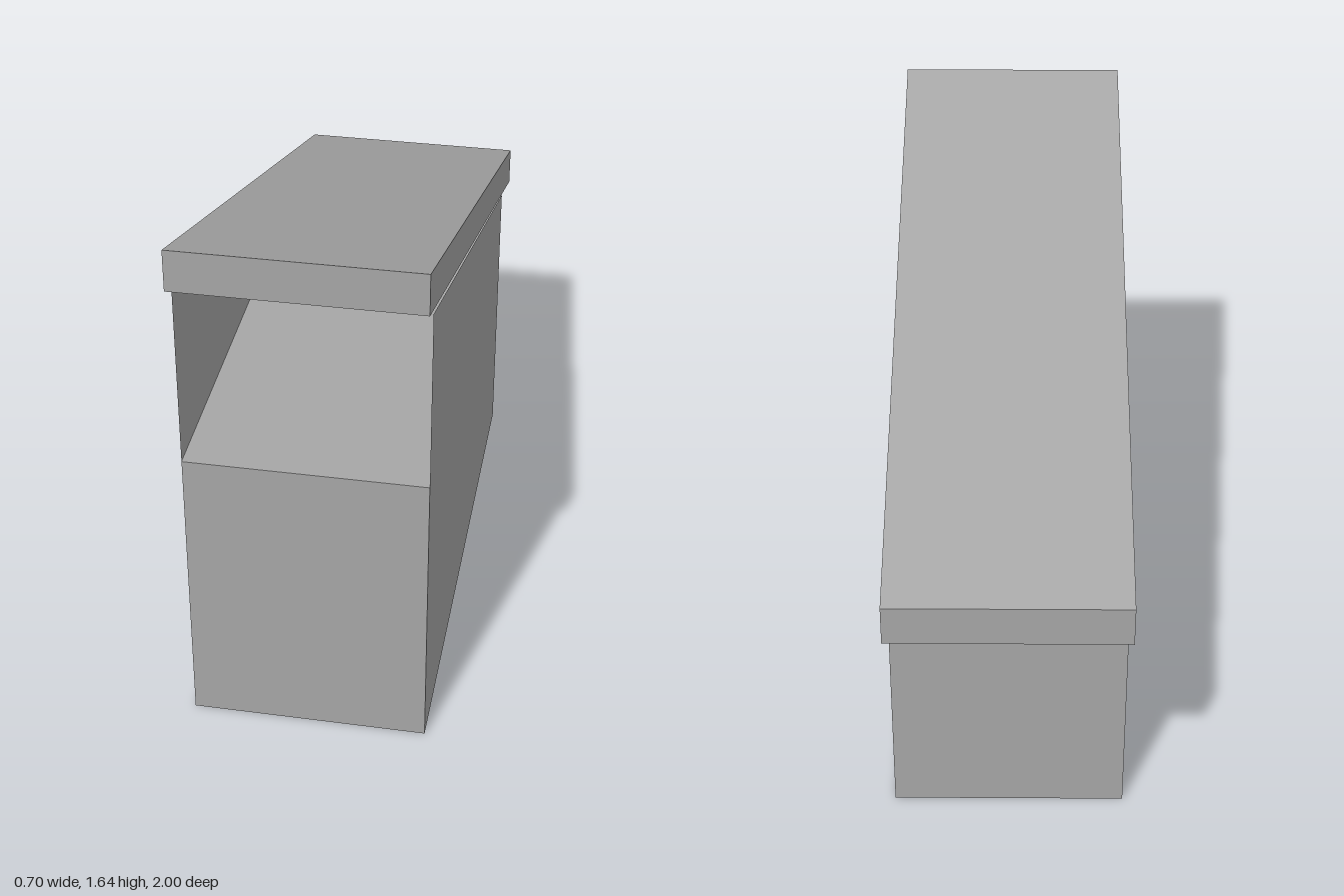
import * as THREE from 'three';

const HALF_WIDTH = 0.35;
const FRONT = 0.93, BACK = -0.75, BODY_TOP = 0.913;

// Side-profile shape from [z, y] points
const profile = (points) => new THREE.Shape(points.map(([z, y]) => new THREE.Vector2(z, y)));

export function createModel() {
  const group = new THREE.Group();
  const grey = new THREE.MeshStandardMaterial({ color: 0xa6a6a6, side: THREE.DoubleSide });
  grey.name = 'plain grey';

  const add = (name, geometry) => {
    const mesh = new THREE.Mesh(geometry, grey);
    mesh.name = name;
    group.add(mesh);
    return mesh;
  };

  // Solid lower body
  add('body', new THREE.BoxGeometry(2 * HALF_WIDTH, BODY_TOP, FRONT - BACK))
    .position.set(0, BODY_TOP / 2, (FRONT + BACK) / 2);

  // Thin triangular side walls rising toward the open front
  const wall = profile([[BACK, BODY_TOP], [FRONT, BODY_TOP], [FRONT, 1.475]]);
  for (const [name, x] of [['leftWall', HALF_WIDTH], ['rightWall', -HALF_WIDTH]]) {
    const geometry = new THREE.ShapeGeometry(wall).rotateY(-Math.PI / 2);
    add(name, geometry).position.x = x;
  }

  // Sloping roof slab with upright end faces, overhanging front and back
  const slab = profile([[-1, 0.833], [1, 1.512], [1, 1.637], [-1, 0.957]]);
  const roof = new THREE.ExtrudeGeometry(slab, { depth: 2 * HALF_WIDTH, bevelEnabled: false });
  add('roof', roof.rotateY(-Math.PI / 2)).position.x = HALF_WIDTH;

  return group;
}
